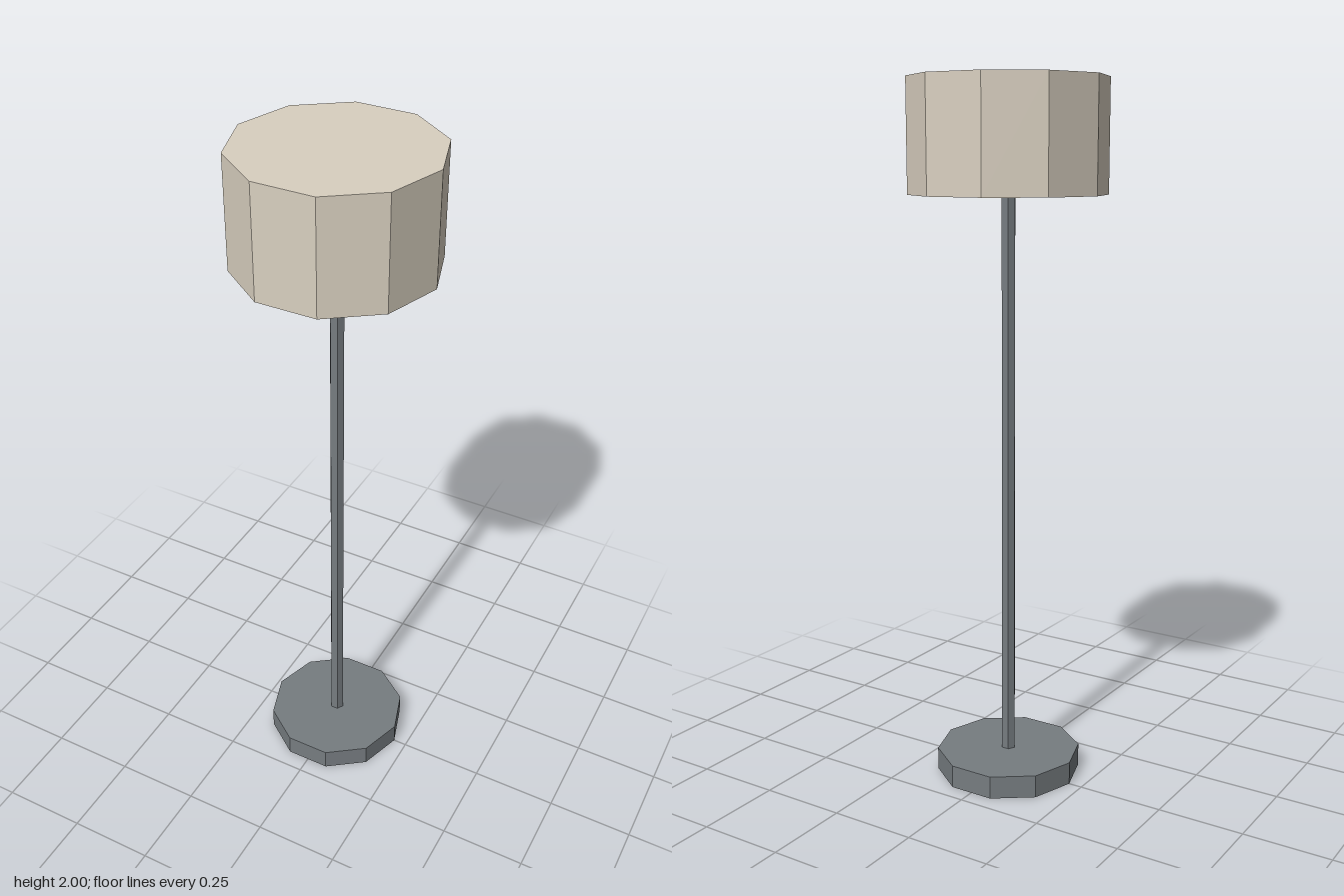
import * as THREE from 'three';

export function createModel() {
  const group = new THREE.Group();
  const metal = new THREE.MeshStandardMaterial({ color: 0x767c80, flatShading: true });
  const fabric = new THREE.MeshStandardMaterial({ color: 0xd9d0c0, flatShading: true });

  // Upright prism between two heights, with a corner pointing along +x
  function prism(name, radius, bottom, top, sides, material) {
    const geometry = new THREE.CylinderGeometry(radius, radius, top - bottom, sides);
    geometry.rotateY(Math.PI / 2);
    const mesh = new THREE.Mesh(geometry, material);
    mesh.name = name;
    mesh.position.y = (bottom + top) / 2;
    group.add(mesh);
  }

  prism('base', 0.21, 0, 0.066, 10, metal);
  prism('pole', 0.021, 0.05, 1.99, 6, metal);
  prism('lampShade', 0.276, 1.687, 2, 10, fabric);

  return group;
}
